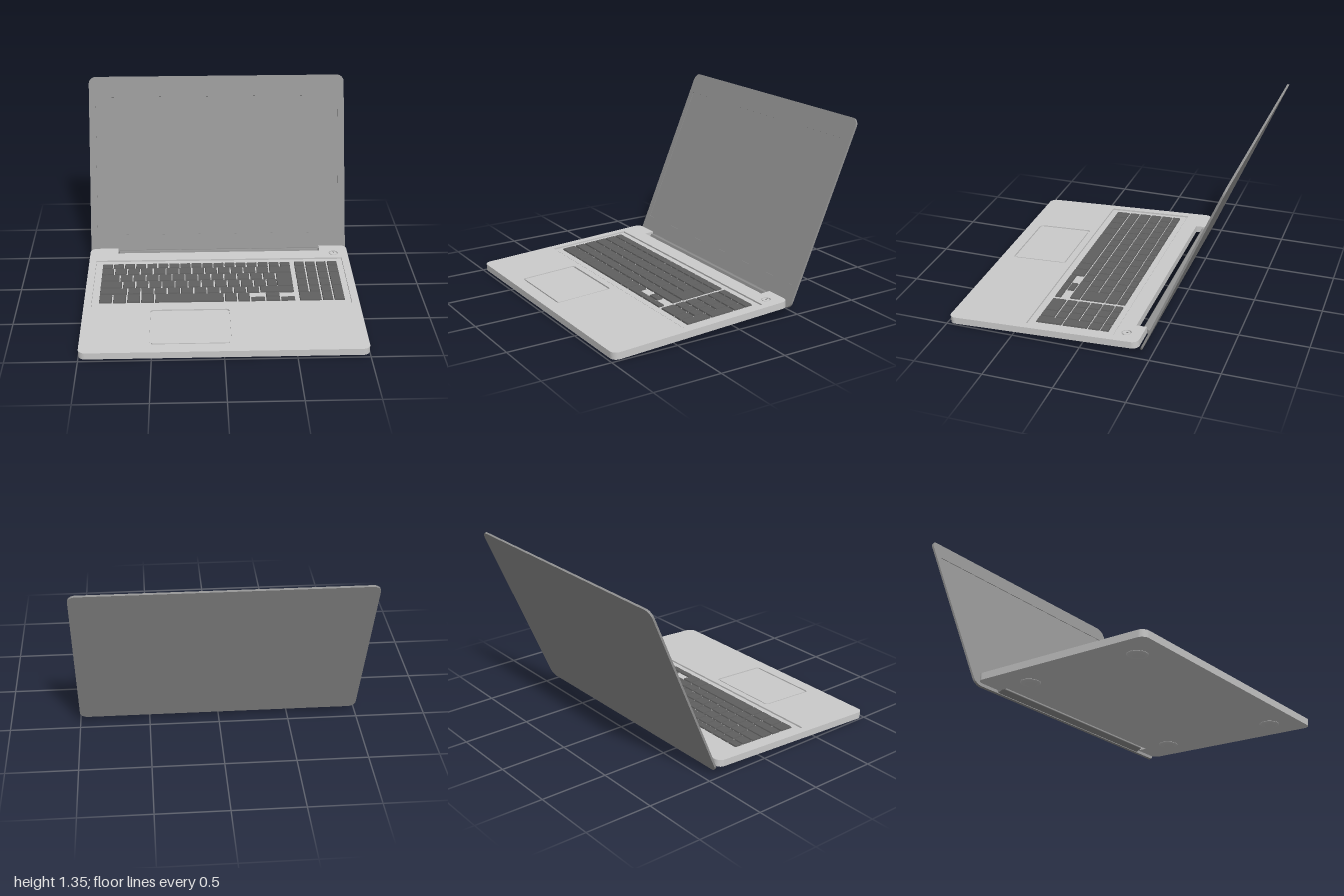
import * as THREE from 'three';
import { mergeGeometries } from 'three/addons/utils/BufferGeometryUtils.js';
import { RoundedBoxGeometry } from 'three/addons/geometries/RoundedBoxGeometry.js';

const grey = new THREE.MeshStandardMaterial({ color: 0xcccccc });
const lidGrey = new THREE.MeshStandardMaterial({ color: 0x909090 });
const keyGrey = new THREE.MeshStandardMaterial({ color: 0x606060 });

// Rounded rectangle outline from corner to corner
function roundRect(x0, y0, x1, y1, r, Type = THREE.Shape) {
  const s = new Type();
  s.moveTo(x0 + r, y0);
  s.lineTo(x1 - r, y0);
  s.absarc(x1 - r, y0 + r, r, -Math.PI / 2, 0);
  s.lineTo(x1, y1 - r);
  s.absarc(x1 - r, y1 - r, r, 0, Math.PI / 2);
  s.lineTo(x0 + r, y1);
  s.absarc(x0 + r, y1 - r, r, Math.PI / 2, Math.PI);
  s.lineTo(x0, y0 + r);
  s.absarc(x0 + r, y0 + r, r, Math.PI, Math.PI * 1.5);
  return s;
}

function extrude(shape, depth) {
  return new THREE.ExtrudeGeometry(shape, { depth, bevelEnabled: false, curveSegments: 8 });
}

// Horizontal plate: shape y becomes -z, bottom sits at height y
function plate(shape, y, depth) {
  return extrude(shape, depth).rotateX(-Math.PI / 2).translate(0, y, 0);
}

function add(parent, name, geometry, material) {
  const mesh = new THREE.Mesh(geometry, material);
  mesh.name = name;
  parent.add(mesh);
  return mesh;
}

// Base outline with the hinge notch cut into the rear edge
function baseOutline() {
  const r = 0.05, front = -0.985, rear = 0.42, notch = 0.345, w = 0.785;
  const s = new THREE.Shape();
  s.moveTo(-1 + r, front);
  s.lineTo(1 - r, front);
  s.absarc(1 - r, front + r, r, -Math.PI / 2, 0);
  s.lineTo(1, rear - r);
  s.absarc(1 - r, rear - r, r, 0, Math.PI / 2);
  s.lineTo(w, rear);
  s.lineTo(w, notch);
  s.lineTo(-w, notch);
  s.lineTo(-w, rear);
  s.lineTo(-1 + r, rear);
  s.absarc(-1 + r, rear - r, r, Math.PI / 2, Math.PI);
  s.lineTo(-1, front + r);
  s.absarc(-1 + r, front + r, r, Math.PI, Math.PI * 1.5);
  return s;
}

// One key: a box that narrows slightly towards its top
function key(x0, x1, z0, z1) {
  const gap = 0.004, h = 0.014;
  const w = x1 - x0 - 2 * gap, d = z1 - z0;
  const g = new THREE.BoxGeometry(w, h, d);
  const p = g.attributes.position;
  for (let i = 0; i < p.count; i++) {
    if (p.getY(i) > 0) {
      p.setX(i, p.getX(i) * (1 - 0.006 / w));
      p.setZ(i, p.getZ(i) * (1 - 0.006 / d));
    }
  }
  g.computeVertexNormals();
  return g.translate((x0 + x1) / 2, 0.038 + h / 2, (z0 + z1) / 2);
}

function keyGeometry() {
  const rows = [[-0.18, -0.122], [-0.115, -0.03], [-0.022, 0.062], [0.07, 0.158], [0.167, 0.242], [0.252, 0.356]];
  const left = -0.897, right = 0.542, u = 0.0975;
  const keys = [];
  // A run of equal keys; returns where it ends
  const run = (row, x, count, width) => {
    for (let i = 0; i < count; i++) keys.push(key(x + i * width, x + (i + 1) * width, ...rows[row]));
    return x + count * width;
  };
  const until = (row, x, end) => run(row, x, 1, end - x);

  run(0, left, 17, (right - left) / 17);
  until(1, run(1, left, 13, u), right);
  const enterTop = run(2, run(2, left, 1, 0.143), 12, u);
  const enterLow = run(3, run(3, left, 1, 0.166), 11, u);
  until(4, run(4, run(4, left, 1, 0.207), 10, u), right);

  // Stepped enter key
  keys.push(key(enterTop, right, rows[2][0], rows[3][1]));
  keys.push(key(enterLow, enterTop + 0.008, ...rows[3]));

  // Bottom row with space bar and arrow keys
  let x = run(5, left, 4, 0.102);
  x = run(5, x, 1, 0.51);
  x = run(5, x, 2, 0.0955);
  const a = (right - x) / 3;
  for (let i = 0; i < 3; i++) keys.push(key(x + i * a, x + (i + 1) * a, 0.309, 0.356));
  keys.push(key(x + a, x + 2 * a, 0.252, 0.301));

  // Number pad
  const pad = 0.567, c = 0.0845;
  for (let r = 0; r < 5; r++) run(r, pad, r < 2 ? 4 : 3, c);
  run(5, pad, 1, 2 * c);
  run(5, pad + 2 * c, 1, c);
  for (const r of [2, 4]) keys.push(key(pad + 3 * c, pad + 4 * c, rows[r][0], rows[r + 1][1]));
  return mergeGeometries(keys);
}

function createBase() {
  const base = new THREE.Group();
  base.name = 'base';

  // Lower body and top cover with openings for keyboard, touchpad and button
  add(base, 'lowerBody', plate(baseOutline(), 0, 0.038), grey);
  const cover = baseOutline();
  const button = new THREE.Path();
  button.absarc(0.89, 0.307, 0.035, 0, Math.PI * 2);
  cover.holes.push(
    roundRect(-0.945, -0.413, 0.945, 0.235, 0.004, THREE.Path),
    roundRect(-0.515, -0.892, 0.052, -0.462, 0.025, THREE.Path),
    button
  );
  add(base, 'topCover', plate(cover, 0.038, 0.012), grey);

  add(base, 'keyboardTray', plate(roundRect(-0.933, -0.401, 0.933, 0.223, 0.004), 0.038, 0.003), grey);
  add(base, 'keys', keyGeometry(), keyGrey);
  add(base, 'touchpad', plate(roundRect(-0.503, -0.88, 0.04, -0.474, 0.016), 0.038, 0.01), grey);

  // Power button with a small raised mark
  const power = add(base, 'powerButton', new THREE.CylinderGeometry(0.026, 0.028, 0.012, 32), grey);
  power.position.set(0.89, 0.044, -0.307);
  const mark = add(base, 'powerButtonMark', new THREE.BoxGeometry(0.004, 0.003, 0.02), keyGrey);
  mark.position.set(0.89, 0.0505, -0.313);

  // Four domed feet
  for (const x of [-0.785, 0.785]) {
    for (const z of [-0.13, 0.77]) {
      const dome = new THREE.SphereGeometry(1, 32, 8, 0, Math.PI * 2, Math.PI / 2, Math.PI / 2);
      const foot = add(base, 'foot', dome, grey);
      foot.scale.set(0.07, 0.016, 0.07);
      foot.position.set(x, 0, z);
    }
  }
  base.position.y = 0.0516;
  base.rotation.x = 0.0463;
  return base;
}

function createLid() {
  const lid = new THREE.Group();
  lid.name = 'lid';
  const height = 1.405;

  // Back shell, bezel frame and slightly sunken screen
  const outline = () => roundRect(-1, 0, 1, height, 0.055);
  add(lid, 'lidShell', extrude(outline(), 0.011).translate(0, 0, -0.015), lidGrey);
  const bezel = outline();
  bezel.holes.push(roundRect(-0.948, 0.165, 0.948, 1.245, 0.003, THREE.Path));
  add(lid, 'bezel', extrude(bezel, 0.004).translate(0, 0, -0.004), lidGrey);
  const screen = add(lid, 'screen', new THREE.PlaneGeometry(1.896, 1.08), lidGrey);
  screen.position.set(0, 0.705, -0.0035);

  // Hinge bar reaching into the base notch
  const hinge = add(lid, 'hinge', new RoundedBoxGeometry(1.56, 0.04, 0.056, 3, 0.008), lidGrey);
  hinge.position.set(0, 0.025, 0.024);

  lid.position.set(0, 0.052, -0.425);
  lid.rotation.x = -0.402;
  return lid;
}

export function createModel() {
  const model = new THREE.Group();
  model.name = 'laptop';
  model.add(createBase(), createLid());
  return model;
}
